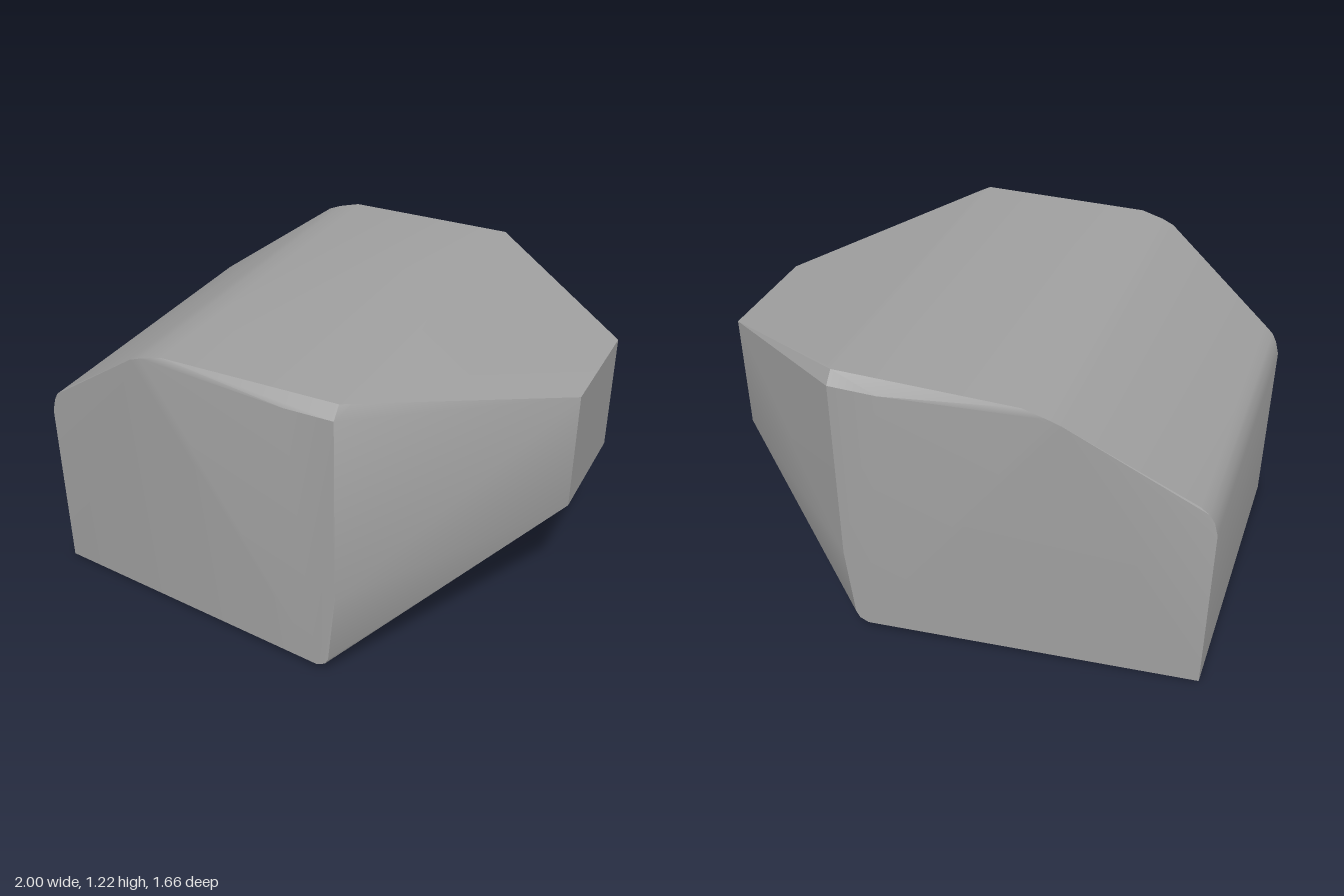
import * as THREE from 'three';
import { ConvexGeometry } from 'three/addons/geometries/ConvexGeometry.js';
import { toCreasedNormals } from 'three/addons/utils/BufferGeometryUtils.js';

export function createModel() {
  const group = new THREE.Group();
  group.name = 'rock';
  const stone = new THREE.MeshStandardMaterial({ color: 0xa0a0a0 });
  stone.name = 'grey stone';

  // Corners of the boulder as [x, y, half depth], mirrored front to back
  const corners = [
    [-1, 0, 0.63], [-1, 0.73, 0.63], [-0.985, 0.785, 0.63], // blunt end
    [-0.965, 0.82, 0.635], [-0.93, 0.85, 0.64],
    [-0.47, 1.175, 0.785], [-0.42, 1.195, 0.79], [-0.33, 1.22, 0.79], // sloped shoulder
    [0.37, 1.22, 0.79], [0.4, 1.213, 0.76], // top ridge
    [0.18, 1.175, 0.83], [0.37, 1.175, 0.83], // chipped top edge
    [0.37, 0.41, 0.83], [0.34, 0.11, 0.83], // wide corner
    [0.325, 0.082, 0.83], [0.29, 0.066, 0.83],
  ];
  const points = corners.flatMap(([x, y, z]) => [
    new THREE.Vector3(x, y, z),
    new THREE.Vector3(x, y, -z),
  ]);

  // Small off-centre facet at the narrow end
  for (const y of [0.57, 1.05]) {
    for (const z of [0.11, -0.373]) points.push(new THREE.Vector3(1, y, z));
  }

  const geometry = toCreasedNormals(new ConvexGeometry(points), THREE.MathUtils.degToRad(30));
  const boulder = new THREE.Mesh(geometry, stone);
  boulder.name = 'boulder';
  group.add(boulder);
  return group;
}
